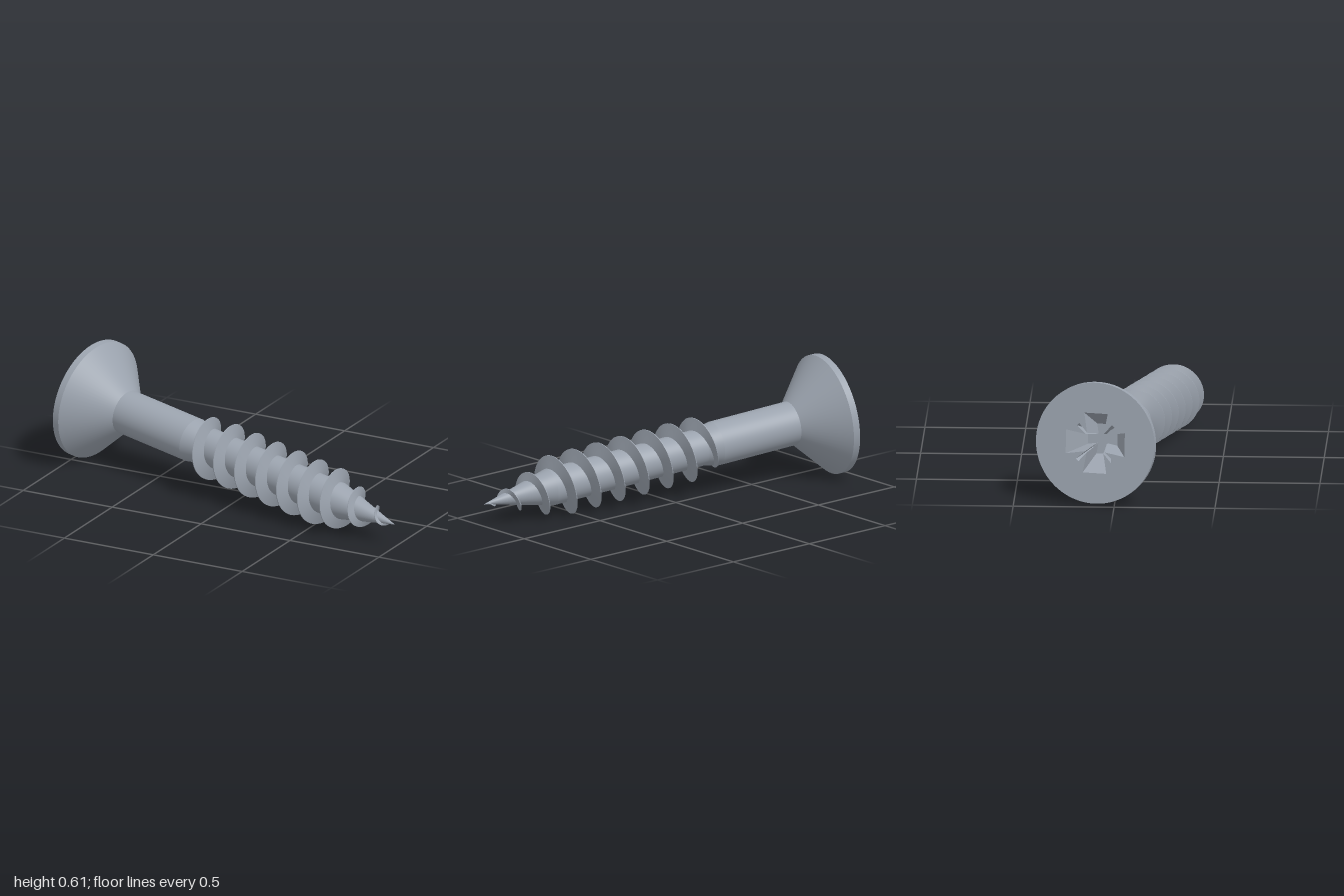
import * as THREE from 'three';

const steel = new THREE.MeshStandardMaterial({ color: 0x9ba3ae });
steel.name = 'steel';

const HEAD_R = 0.303, SHANK_R = 0.111, CORE_R = 0.093, THREAD_R = 0.157;
const TAPER = 1.6, TIP = 1.974, PITCH = 0.137;

function add(parent, name, geometry) {
  const mesh = new THREE.Mesh(geometry, steel);
  mesh.name = name;
  parent.add(mesh);
  return mesh;
}

// A turned section whose axis runs along +x; points are [distance, radius]
function turned(parent, name, points) {
  const g = new THREE.LatheGeometry(points.map(([s, r]) => new THREE.Vector2(r, s)), 72);
  g.rotateZ(-Math.PI / 2);
  return add(parent, name, g);
}

function coreRadius(s) {
  if (s < 0.66) return SHANK_R;
  if (s < 0.74) return THREE.MathUtils.mapLinear(s, 0.66, 0.74, SHANK_R, CORE_R);
  if (s < TAPER) return CORE_R;
  return CORE_R * Math.max(0, (TIP - s) / (TIP - TAPER));
}

function crestRadius(s) {
  if (s < 0.76) return THREE.MathUtils.mapLinear(s, 0.66, 0.76, 0.1, THREAD_R);
  if (s < 1.575) return THREAD_R;
  return THREE.MathUtils.mapLinear(s, 1.575, 1.96, THREAD_R, 0.006);
}

// Thread cross-section at distance s: root, crest, crest, root as [distance, radius]
function threadSection(s) {
  const root = Math.max(0.002, coreRadius(s) - 0.008);
  const crest = crestRadius(s);
  const w = 0.003 + 0.3 * Math.min(0.075, Math.max(0, crest - root));
  return [[s - w, root], [s - 0.002, crest], [s + 0.002, crest], [s + w, root]];
}

// One helical face between two corners of the thread section
function threadStrip(k) {
  const pos = [], index = [], perTurn = 64;
  const start = 0.66, end = 1.955;
  const n = Math.round((end - start) / PITCH * perTurn);
  for (let i = 0; i <= n; i++) {
    const s = start + (end - start) * i / n;
    const a = (s - 0.749) / PITCH * Math.PI * 2;
    const section = threadSection(s);
    for (const [x, r] of [section[k], section[k + 1]]) pos.push(x, r * Math.cos(a), r * Math.sin(a));
    if (i < n) {
      const b = i * 2;
      index.push(b, b + 2, b + 1, b + 1, b + 2, b + 3);
    }
  }
  const g = new THREE.BufferGeometry();
  g.setAttribute('position', new THREE.Float32BufferAttribute(pos, 3));
  g.setIndex(index);
  g.computeVertexNormals();
  return g;
}

// Cross-shaped drive outline with a thin diagonal slot between arms
function driveOutline(scale) {
  const quarter = [[0.15, -0.06], [0.15, 0.06], [0.05, 0.043], [0.096, 0.084], [0.084, 0.096], [0.043, 0.05]];
  const points = [];
  for (let q = 0; q < 4; q++) {
    for (const [x, y] of quarter) {
      points.push(new THREE.Vector2(x, y).multiplyScalar(scale).rotateAround(new THREE.Vector2(), q * Math.PI / 2));
    }
  }
  return points;
}

function headFace() {
  const group = new THREE.Group();
  group.name = 'driveFace';
  group.rotation.y = -Math.PI / 2;
  const depth = 0.15, floorScale = 0.5;
  const rim = driveOutline(1), floor = driveOutline(floorScale);

  // Flat face with the drive opening
  const disc = new THREE.Shape();
  disc.absarc(0, 0, HEAD_R, 0, Math.PI * 2, false);
  disc.holes.push(new THREE.Path(rim));
  add(group, 'headFace', new THREE.ShapeGeometry(disc, 72));

  // Tapering walls and floor of the recess
  const pos = [];
  rim.forEach((a, i) => {
    const j = (i + 1) % rim.length, b = rim[j], c = floor[j], d = floor[i];
    pos.push(a.x, a.y, 0, b.x, b.y, 0, c.x, c.y, -depth);
    pos.push(a.x, a.y, 0, c.x, c.y, -depth, d.x, d.y, -depth);
  });
  const walls = new THREE.BufferGeometry();
  walls.setAttribute('position', new THREE.Float32BufferAttribute(pos, 3));
  walls.computeVertexNormals();
  add(group, 'recessWalls', walls);
  add(group, 'recessFloor', new THREE.ShapeGeometry(new THREE.Shape(floor))).position.z = -depth;
  return group;
}

export function createModel() {
  const model = new THREE.Group();
  model.name = 'woodScrew';
  const screw = new THREE.Group();
  screw.name = 'screw';
  model.add(screw);

  // Countersunk head
  screw.add(headFace());
  turned(screw, 'headRim', [[0, HEAD_R], [0.035, HEAD_R]]);
  turned(screw, 'headCone', [[0.035, HEAD_R], [0.225, SHANK_R]]);

  // Shank, core and point
  turned(screw, 'shank', [[0.225, SHANK_R], [0.66, SHANK_R]]);
  turned(screw, 'shankTaper', [[0.66, SHANK_R], [0.74, CORE_R]]);
  turned(screw, 'core', [[0.74, CORE_R], [TAPER, CORE_R]]);
  turned(screw, 'point', [[TAPER, CORE_R], [TIP, 0]]);

  // Helical thread
  ['threadRearFlank', 'threadCrest', 'threadFrontFlank'].forEach((name, k) => add(screw, name, threadStrip(k)));

  // Lay the screw along its slanted axis
  const axis = new THREE.Vector3(1, -0.104, 0.213).normalize();
  const side = new THREE.Vector3().crossVectors(axis, new THREE.Vector3(0, 1, 0)).normalize();
  const up = new THREE.Vector3().crossVectors(side, axis);
  screw.quaternion.setFromRotationMatrix(new THREE.Matrix4().makeBasis(axis, up, side));
  screw.position.set(-0.93, 0.304, -0.096);
  return model;
}
